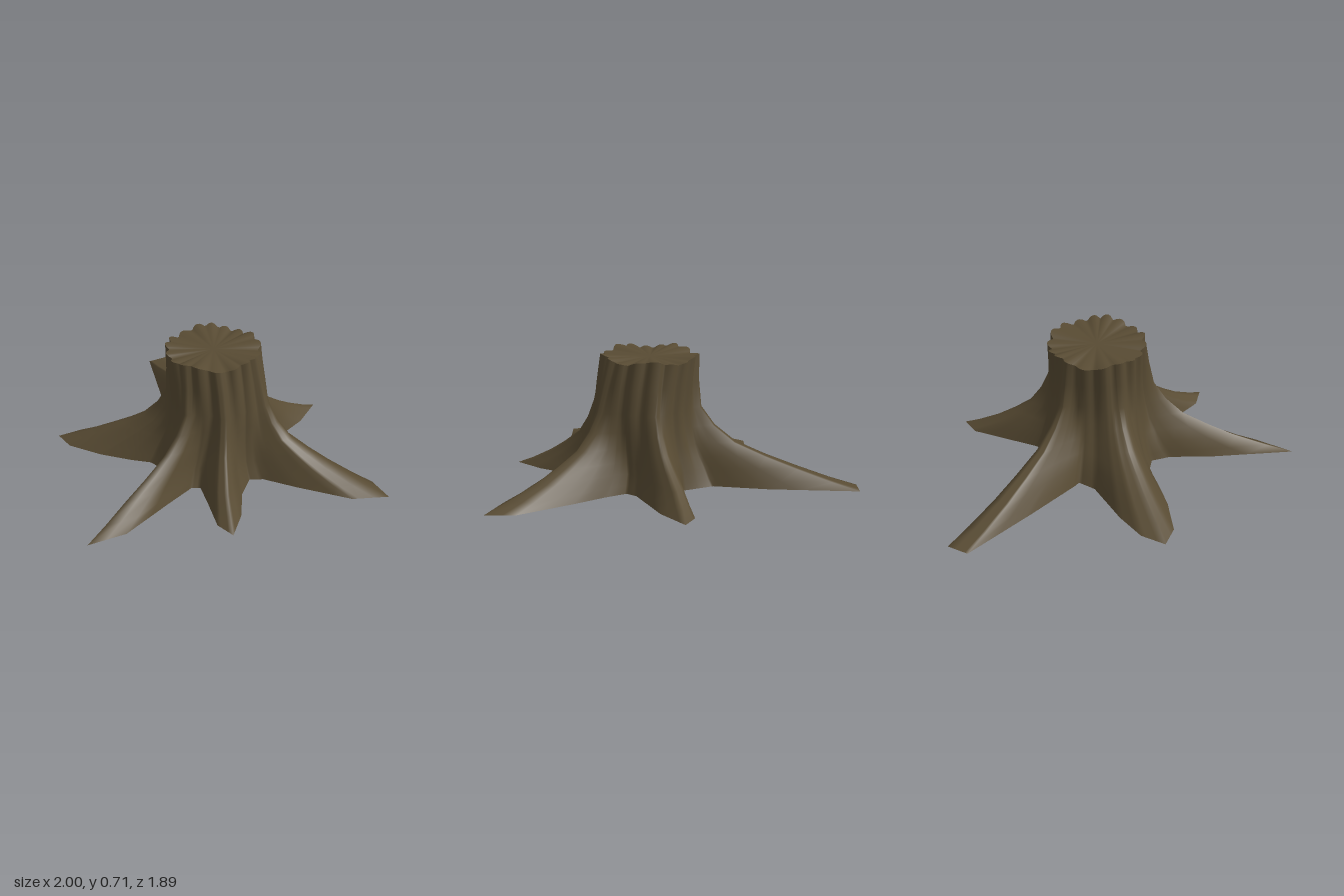
import * as THREE from 'three';

// Trunk axis (x, z)
const CX = -0.04, CZ = -0.16;

// Ground outline around six roots, in order of increasing angle (x, z)
const OUTLINE = [
  [1, -0.39], [0.85, -0.25], [0.55, -0.16], [0.35, -0.11], [0.29, -0.06],
  [0.34, 0.08], [0.45, 0.24], [0.52, 0.41], [0.40, 0.39], [0.25, 0.27], [0.12, 0.17],
  [0.08, 0.20], [0.07, 0.40], [0.06, 0.74], [-0.04, 0.94], [-0.11, 0.50], [-0.13, 0.25], [-0.17, 0.15],
  [-0.26, 0.14], [-0.37, 0.19], [-0.54, 0.25], [-0.75, 0.29], [-0.87, 0.25], [-0.81, 0.12], [-0.67, 0], [-0.44, -0.15],
  [-0.39, -0.24], [-0.42, -0.26], [-0.67, -0.47], [-1, -0.76], [-0.95, -0.87], [-0.52, -0.63], [-0.28, -0.46],
  [-0.19, -0.46], [-0.10, -0.46], [-0.07, -0.52], [0.05, -0.88], [0.14, -0.95], [0.18, -0.75], [0.17, -0.44],
  [0.20, -0.38], [0.33, -0.39], [0.52, -0.42], [0.85, -0.46],
].map(([x, z]) => [x - CX, z - CZ]);

// Rings: height, how far the roots still spread, groove depth, sideways lean
const RINGS = [
  [0, 1, 0, 0], [0.04, 0.83, 0.1, 0], [0.1, 0.62, 0.2, 0], [0.16, 0.44, 0.3, 0.01], [0.23, 0.26, 0.4, 0.02],
  [0.32, 0.14, 0.5, 0.03], [0.42, 0.06, 0.6, 0.035], [0.56, 0.025, 0.8, 0.02], [0.69, 0, 1, 0],
];

// Distance from the axis to the ground outline in direction a
function groundRadius(a) {
  const dx = Math.cos(a), dz = Math.sin(a);
  let best = 0.3;
  OUTLINE.forEach(([px, pz], i) => {
    const [qx, qz] = OUTLINE[(i + 1) % OUTLINE.length];
    const ex = qx - px, ez = qz - pz;
    const det = dx * ez - dz * ex;
    if (Math.abs(det) < 1e-9) return;
    const t = (px * ez - pz * ex) / det;
    const s = (px * dz - pz * dx) / det;
    if (t > 0 && s >= -1e-6 && s <= 1 + 1e-6) best = Math.max(best, t);
  });
  return best;
}

// Outline corners plus evenly spaced directions
function directions() {
  const corners = OUTLINE.map(([x, z]) => Math.atan2(z, x));
  const all = [...corners];
  for (let i = 0; i < 126; i++) {
    const a = -Math.PI + (i + 0.5) / 126 * Math.PI * 2;
    if (corners.every(c => Math.abs(c - a) > 0.012)) all.push(a);
  }
  return all.sort((p, q) => p - q);
}

function makeMesh(name, points, index, material) {
  const g = new THREE.BufferGeometry();
  g.setAttribute('position', new THREE.Float32BufferAttribute(points.flat(), 3));
  g.setIndex(index);
  g.computeVertexNormals();
  const m = new THREE.Mesh(g, material);
  m.name = name;
  return m;
}

export function createModel() {
  const group = new THREE.Group();
  group.name = 'treeStump';
  const bark = new THREE.MeshStandardMaterial({ color: 0x584b33 });
  bark.name = 'bark brown';

  const angles = directions();
  const n = angles.length;
  const reach = angles.map(groundRadius);

  // Cross-sections of the trunk flowing out into the roots
  const rings = RINGS.map(([y, spread, groove, lean], k) => angles.map((a, i) => {
    const scallop = Math.abs(Math.sin(9 * a + 0.5 * Math.sin(3 * a)));
    const trunk = 0.252 + groove * 0.028 * (scallop - 0.4);
    const r = trunk + (reach[i] - trunk) * spread;
    const rim = k === RINGS.length - 1 ? 0.012 * Math.sin(5 * a + 1) + 0.012 * scallop - 0.004 : 0;
    return [CX + lean + r * Math.cos(a), y + rim, CZ + r * Math.sin(a)];
  }));

  // Bark surface
  const side = [];
  for (let k = 0; k < rings.length - 1; k++) {
    for (let i = 0; i < n; i++) {
      const j = (i + 1) % n, lo = k * n, up = lo + n;
      side.push(lo + i, up + i, lo + j, up + i, up + j, lo + j);
    }
  }
  group.add(makeMesh('trunkAndRoots', rings.flat(), side, bark));

  // Cut top and flat underside, each a fan around the axis
  const top = [], bottom = [];
  for (let i = 0; i < n; i++) {
    const j = (i + 1) % n;
    top.push(n, j, i);
    bottom.push(n, i, j);
  }
  group.add(makeMesh('cutTop', [...rings[rings.length - 1], [CX, 0.685, CZ]], top, bark));
  group.add(makeMesh('underside', [...rings[0], [CX, 0, CZ]], bottom, bark));
  return group;
}
